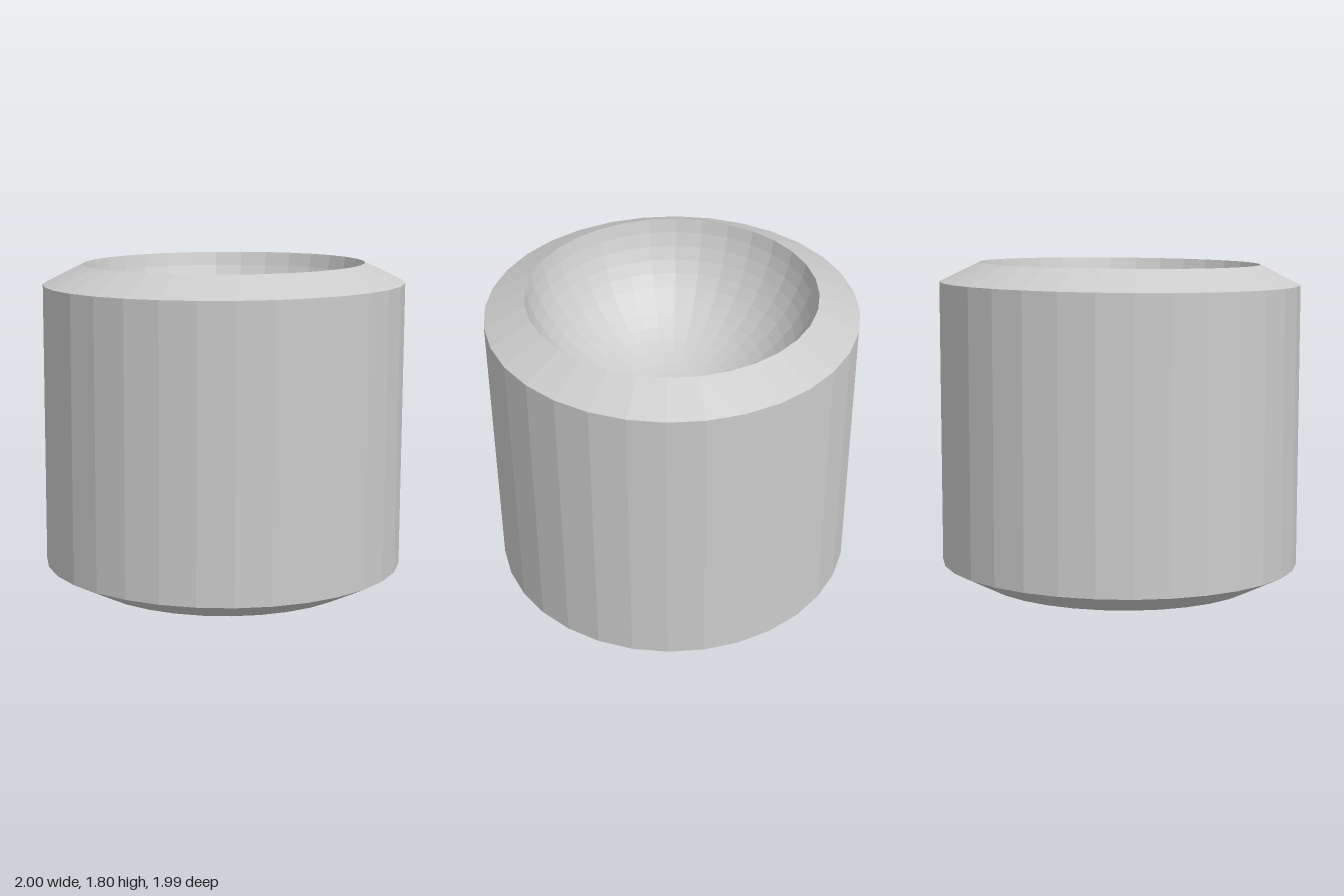
import * as THREE from 'three';

const SEGMENTS = 32, RINGS = 14;
const RIM = 0.778, OUTER = 0.998;
const BOWL_DEPTH = 0.65;
const PHASE = THREE.MathUtils.degToRad(2.75);

// Each end is cut at its own slight slant and sits a little off the axis.
const bottomEnd = { rim: 0.013, edge: 0.125, dx: -0.004, dz: 0.001, slopeX: -0.012, slopeZ: -0.008 };
const topEnd = { rim: 1.795, edge: 1.686, dx: 0.004, dz: 0.002, slopeX: 0, slopeZ: -0.01 };

function turned(name, profile, material) {
  const geometry = new THREE.LatheGeometry(
    profile.map(([r, y]) => new THREE.Vector2(r, y)), SEGMENTS, PHASE);
  const p = geometry.attributes.position;
  for (let i = 0; i < p.count; i++) {
    const x = p.getX(i), y = p.getY(i), z = p.getZ(i);
    const end = y > 0.9 ? topEnd : bottomEnd;
    p.setXYZ(i, x + end.dx, y + end.slopeX * x + end.slopeZ * z, z + end.dz);
  }
  geometry.computeVertexNormals();
  const mesh = new THREE.Mesh(geometry, material);
  mesh.name = name;
  return mesh;
}

// Spherical hollow: dir +1 rises from the bottom rim, -1 sinks from the top rim.
function bowlProfile(rimY, dir) {
  const radius = (RIM * RIM + BOWL_DEPTH * BOWL_DEPTH) / (2 * BOWL_DEPTH);
  const rimAngle = Math.acos(1 - BOWL_DEPTH / radius);
  const points = [];
  for (let i = 0; i <= RINGS; i++) {
    const a = (i / RINGS) * rimAngle;
    points.push([radius * Math.sin(a), rimY + dir * (BOWL_DEPTH - radius * (1 - Math.cos(a)))]);
  }
  return dir > 0 ? points : points.reverse();
}

export function createModel() {
  const group = new THREE.Group();
  group.name = 'doubleBowlCylinder';
  const material = new THREE.MeshStandardMaterial({ color: 0xcccccc, flatShading: true });

  // Straight wall with a chamfer at each end
  group.add(turned('chamferedWall', [
    [RIM, bottomEnd.rim], [OUTER, bottomEnd.edge],
    [OUTER, topEnd.edge], [RIM, topEnd.rim],
  ], material));

  // Hollows in both ends
  group.add(turned('bottomBowl', bowlProfile(bottomEnd.rim, 1), material));
  group.add(turned('topBowl', bowlProfile(topEnd.rim, -1), material));
  return group;
}
